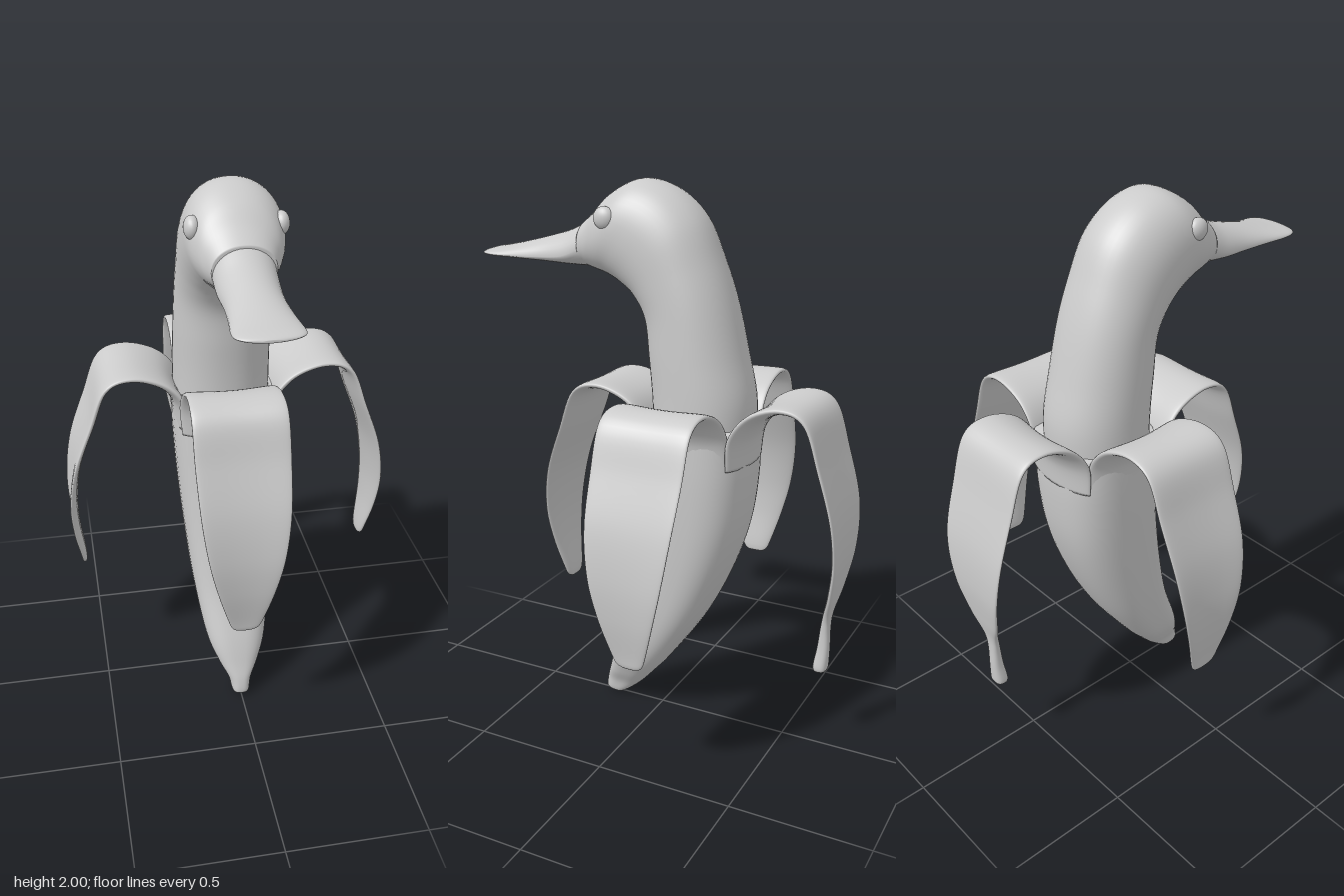
import * as THREE from 'three';

const grey = new THREE.MeshStandardMaterial({ color: 0xcccccc });

// Smoothly interpolate rows of numbers (Catmull-Rom on every column)
function smoothRows(rows, steps) {
  const out = [], last = rows.length - 1;
  for (let i = 0; i < last; i++) {
    const [a, b, c, d] = [-1, 0, 1, 2].map(k => rows[Math.min(last, Math.max(0, i + k))]);
    for (let s = 0; s < steps; s++) {
      const t = s / steps;
      out.push(b.map((_, k) => b[k] + 0.5 * t * (c[k] - a[k]
        + t * (2 * a[k] - 5 * b[k] + 4 * c[k] - d[k] + t * (3 * (b[k] - c[k]) + d[k] - a[k])))));
    }
  }
  out.push(rows[last]);
  return out;
}

// Skin a list of closed rings, with end caps; faces always point outwards
function loft(rings) {
  const n = rings[0].length, pts = rings.flat(), index = [];
  for (let i = 0; i < rings.length - 1; i++) {
    for (let j = 0; j < n; j++) {
      const a = i * n + j, b = i * n + (j + 1) % n;
      index.push(a, b, a + n, b, b + n, a + n);
    }
  }
  for (const end of [0, rings.length - 1]) {
    const centre = pts.length, ring = rings[end];
    pts.push(ring.reduce((s, p) => s.add(p), new THREE.Vector3()).divideScalar(n));
    for (let j = 0; j < n; j++) {
      const a = end * n + j, b = end * n + (j + 1) % n;
      if (end === 0) index.push(centre, b, a);
      else index.push(centre, a, b);
    }
  }
  let volume = 0;
  const v = new THREE.Vector3();
  for (let i = 0; i < index.length; i += 3) {
    volume += pts[index[i]].dot(v.crossVectors(pts[index[i + 1]], pts[index[i + 2]]));
  }
  if (volume < 0) index.reverse();
  const g = new THREE.BufferGeometry().setFromPoints(pts);
  g.setIndex(index);
  g.computeVertexNormals();
  return g;
}

// Rounded power curve: power 2 is a circle, higher is squarer
const squircle = (a, power) => [Math.cos(a), Math.sin(a)]
  .map(c => Math.sign(c) * Math.abs(c) ** (2 / power));
const angles = n => Array.from({ length: n }, (_, i) => (i / n) * Math.PI * 2);

// Rows: front z, front y, back z, back y, half width
function ovalLoft(rows, power, cx) {
  return loft(smoothRows(rows, 6).map(([fz, fy, bz, by, w]) => angles(48).map(a => {
    const [c, s] = squircle(a, power);
    return new THREE.Vector3(cx + w * c, (fy + by) / 2 + s * (fy - by) / 2, (fz + bz) / 2 + s * (fz - bz) / 2);
  })));
}

// Peel strip rows: distance from wall, y, half width, half thickness, edge lift.
// Built running along +z with its width along x.
function stripGeometry(rows) {
  const path = smoothRows(rows, 7);
  return loft(path.map(([d, y, w, t, lift], i) => {
    const p = path[Math.max(0, i - 1)], q = path[Math.min(path.length - 1, i + 1)];
    const len = Math.hypot(q[0] - p[0], q[1] - p[1]);
    const nd = -(q[1] - p[1]) / len, ny = (q[0] - p[0]) / len;
    return angles(40).map(a => {
      const [c, s] = squircle(a, 2.6);
      const off = t * s + lift * (c * c - 0.3);
      return new THREE.Vector3(w * c, y + ny * off, d + nd * off);
    });
  }));
}

export function createModel() {
  const model = new THREE.Group();
  const add = (name, geometry, parent = model) => {
    const mesh = new THREE.Mesh(geometry, grey);
    mesh.name = name;
    parent.add(mesh);
    return mesh;
  };

  // Lower fruit: curved, four-sided with soft corners
  add('fruitBody', ovalLoft([
    [0.222, 0.008, 0.185, 0, 0.018],
    [0.242, 0.02, 0.16, 0.012, 0.032],
    [0.235, 0.07, 0.10, 0.06, 0.045],
    [0.215, 0.13, 0.035, 0.13, 0.08],
    [0.185, 0.22, -0.04, 0.22, 0.115],
    [0.117, 0.4, -0.165, 0.4, 0.145],
    [0.075, 0.6, -0.265, 0.6, 0.165],
    [0.048, 0.8, -0.33, 0.8, 0.18],
    [0.032, 1.0, -0.355, 1.0, 0.19],
    [0.022, 1.18, -0.355, 1.18, 0.193],
  ], 2.7, 0));

  // Neck bending forward into the head
  add('neckAndHead', ovalLoft([
    [0.015, 1.05, -0.335, 1.05, 0.175],
    [0.022, 1.25, -0.345, 1.25, 0.176],
    [0.035, 1.4, -0.31, 1.42, 0.174],
    [0.05, 1.53, -0.265, 1.6, 0.17],
    [0.095, 1.605, -0.215, 1.74, 0.168],
    [0.15, 1.645, -0.15, 1.88, 0.168],
    [0.2, 1.668, -0.05, 1.968, 0.165],
    [0.235, 1.678, 0.07, 2.0, 0.158],
    [0.263, 1.685, 0.17, 1.96, 0.138],
    [0.28, 1.69, 0.24, 1.895, 0.117],
    [0.287, 1.69, 0.295, 1.85, 0.104],
  ], 2.15, -0.01));

  // Bill: rows of z, half width, top y, bottom y, height of the lip line (0..1)
  const bill = smoothRows([
    [0.25, 0.102, 1.86, 1.69, 0.45],
    [0.29, 0.102, 1.848, 1.69, 0.42],
    [0.36, 0.1, 1.815, 1.692, 0.3],
    [0.45, 0.095, 1.788, 1.697, 0.25],
    [0.55, 0.1, 1.763, 1.702, 0.25],
    [0.63, 0.108, 1.746, 1.706, 0.3],
    [0.675, 0.104, 1.738, 1.709, 0.4],
    [0.7, 0.078, 1.731, 1.712, 0.5],
    [0.71, 0.03, 1.724, 1.715, 0.5],
  ], 6);
  add('bill', loft(bill.map(([z, w, top, bottom, lip]) => angles(36).map(a => {
    const edge = bottom + lip * (top - bottom), s = Math.sin(a);
    return new THREE.Vector3(-0.01 + w * Math.cos(a), edge + s * (s > 0 ? top - edge : edge - bottom), z);
  }))));

  // Eyes
  for (const side of [-1, 1]) {
    const eye = add(side > 0 ? 'leftEye' : 'rightEye', new THREE.SphereGeometry(0.039, 24, 16));
    eye.position.set(-0.01 + side * 0.143, 1.875, 0.155);
    eye.scale.x = 0.7;
  }

  // Folded peel: shared arch, then a plain or a stemmed end
  const arch = [
    [-0.022, 1.05, 0.155, 0.012, 0.03],
    [-0.012, 1.16, 0.165, 0.018, 0.03],
    [0.05, 1.243, 0.163, 0.02, 0.02],
    [0.16, 1.283, 0.163, 0.018, 0.012],
    [0.25, 1.25, 0.165, 0.016, 0.012],
  ];
  const plainStrip = stripGeometry([...arch,
    [0.305, 1.11, 0.164, 0.014, 0.015],
    [0.365, 0.94, 0.155, 0.013, 0.018],
    [0.39, 0.78, 0.133, 0.013, 0.018],
    [0.388, 0.64, 0.1, 0.012, 0.012],
    [0.37, 0.51, 0.062, 0.011, 0.006],
    [0.366, 0.475, 0.047, 0.01, 0.003],
    [0.364, 0.463, 0.03, 0.007, 0],
  ]);
  const stemStrip = stripGeometry([...arch.map(([d, ...rest]) => [d * 0.92, ...rest]),
    [0.28, 1.1, 0.163, 0.014, 0.015],
    [0.327, 0.92, 0.155, 0.013, 0.018],
    [0.336, 0.76, 0.125, 0.013, 0.015],
    [0.318, 0.62, 0.08, 0.013, 0.008],
    [0.298, 0.53, 0.036, 0.014, 0.002],
    [0.291, 0.47, 0.025, 0.017, 0],
    [0.287, 0.39, 0.025, 0.022, 0],
    [0.28, 0.32, 0.032, 0.026, 0],
    [0.28, 0.302, 0.026, 0.021, 0],
  ]);
  const strips = [
    ['frontPeel', plainStrip, -0.02, 0.035, 0],
    ['leftPeel', plainStrip, 0.188, -0.155, Math.PI / 2],
    ['backPeel', stemStrip, 0, -0.357, Math.PI],
    ['rightPeel', plainStrip, -0.19, -0.152, -Math.PI / 2],
  ];
  for (const [name, geometry, x, z, turn] of strips) {
    const strip = add(name, geometry);
    strip.position.set(x, 0, z);
    strip.rotation.y = turn;
  }

  return model;
}
